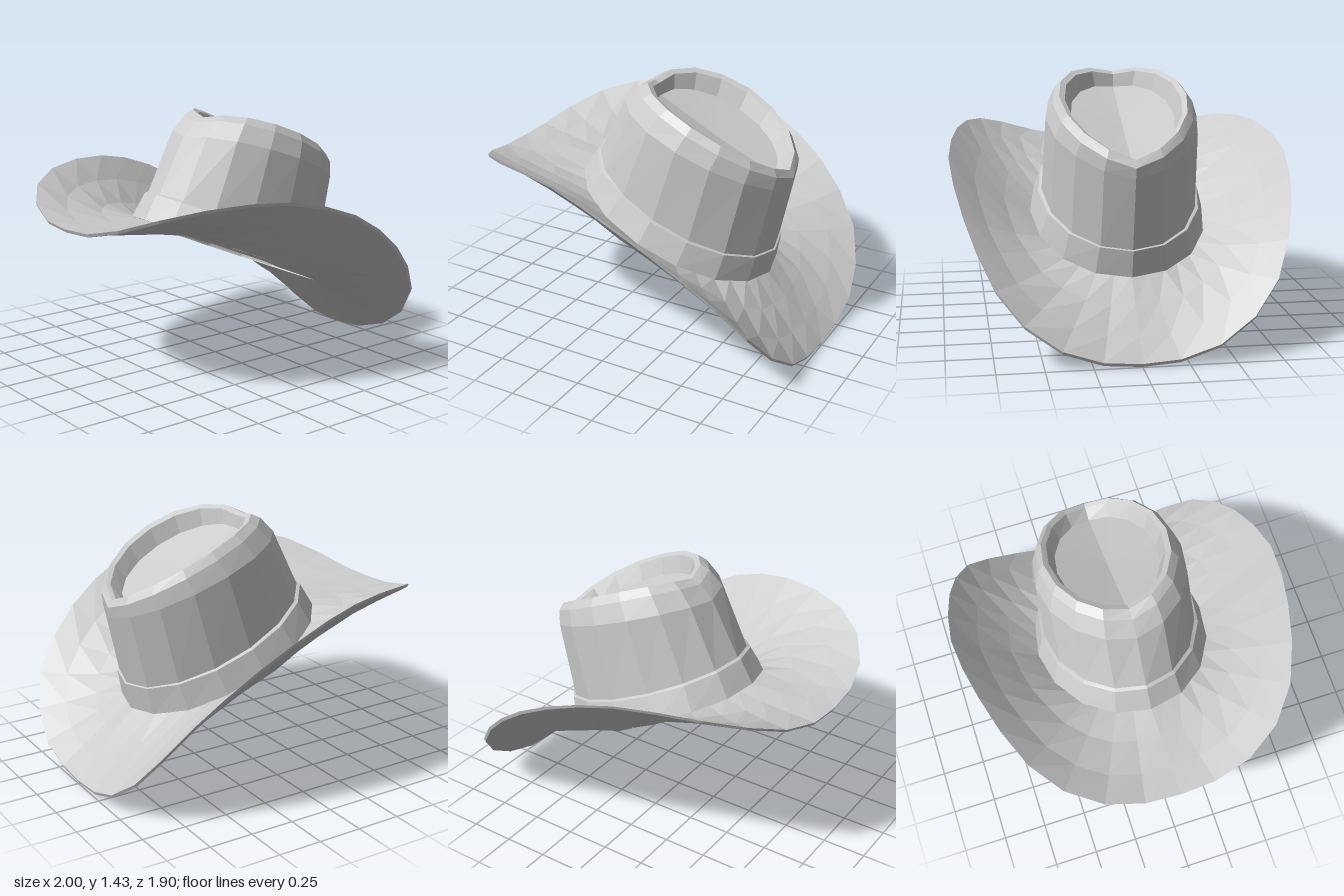
import * as THREE from 'three';

const SIDES = 16;
const V = (x, y, z) => new THREE.Vector3(x, y, z);

// Tilted oval ring: back point, front point, half width, rise of the two sides
function ring(xb, yb, xf, yf, w, rise = 0) {
  return Array.from({ length: SIDES }, (_, i) => {
    const a = (i / SIDES) * Math.PI * 2;
    const t = (1 + Math.cos(a)) / 2, s = Math.sin(a);
    return V(xb + (xf - xb) * t, yb + (yf - yb) * t + rise * Math.abs(s), w * s);
  });
}

const point = (x, y) => Array.from({ length: SIDES }, () => V(x, y, 0));

// Split every edge of a ring in two
const subdivide = (r) => r.flatMap((p, i) => [p, p.clone().lerp(r[(i + 1) % r.length], 0.5)]);

// Skin a list of rings that have equal point counts
function loft(name, rings) {
  const pos = [];
  const tri = (a, b, c) => {
    if (a.distanceTo(b) < 1e-6 || b.distanceTo(c) < 1e-6 || a.distanceTo(c) < 1e-6) return;
    for (const p of [a, b, c]) pos.push(p.x, p.y, p.z);
  };
  for (let k = 0; k + 1 < rings.length; k++) {
    const lo = rings[k], hi = rings[k + 1], n = lo.length;
    for (let i = 0; i < n; i++) {
      const j = (i + 1) % n;
      tri(lo[i], hi[i], lo[j]);
      tri(lo[j], hi[i], hi[j]);
    }
  }
  const geo = new THREE.BufferGeometry();
  geo.setAttribute('position', new THREE.Float32BufferAttribute(pos, 3));
  geo.computeVertexNormals();
  const mesh = new THREE.Mesh(geo, new THREE.MeshStandardMaterial({ color: 0xcccccc, flatShading: true }));
  mesh.name = name;
  return mesh;
}

// Half of the brim edge, from the front tip round to the back
const EDGE = [
  [1, 0.015, 0], [1, 0.03, 0.2], [1, 0.1, 0.41], [0.96, 0.23, 0.6], [0.88, 0.4, 0.74],
  [0.74, 0.58, 0.83], [0.58, 0.73, 0.89], [0.4, 0.86, 0.93], [0.2, 0.97, 0.95],
  [0, 1.04, 0.93], [-0.2, 1.08, 0.89], [-0.42, 1.09, 0.83], [-0.64, 1.07, 0.74],
  [-0.82, 1.02, 0.6], [-0.94, 0.95, 0.41], [-0.99, 0.9, 0.2], [-1, 0.89, 0],
];

function brim() {
  const half = EDGE.map((p) => V(...p));
  const outer = [...half, ...half.slice(1, -1).reverse().map((p) => V(p.x, p.y, -p.z))];
  const inner = subdivide(ring(-0.47, 0.865, 0.64, 0.385, 0.48));
  // Rings between opening and edge, sagging a little at the sides
  const top = [0, 0.35, 0.7, 1].map((t) => inner.map((p, i) => {
    const q = p.clone().lerp(outer[i], t);
    q.y -= 0.12 * t * (1 - t) * Math.abs(Math.sin((i / inner.length) * Math.PI * 2));
    return q;
  }));
  const under = top.map((r) => r.map((p) => V(p.x - 0.008 * Math.sign(p.x), p.y - 0.018, p.z * 0.995)));
  return loft('brim', [top[0], ...under, ...top.slice().reverse()]);
}

export function createModel() {
  const hat = new THREE.Group();
  hat.name = 'hat';

  const innerBase = ring(-0.455, 0.85, 0.63, 0.375, 0.465);
  const ledge = ring(-0.39, 1.005, 0.68, 0.535, 0.435);

  // Flared band round the foot of the crown
  const band = loft('band', [
    innerBase,
    ring(-0.49, 0.87, 0.66, 0.38, 0.5),
    ring(-0.41, 1.0, 0.69, 0.53, 0.455),
    ledge,
  ]);

  // Crown wall, rounded rim and sunken top
  const crown = loft('crown', [
    ledge,
    ring(-0.22, 1.31, 0.77, 0.93, 0.42, 0.07),
    ring(-0.14, 1.385, 0.78, 0.99, 0.385, 0.09),
    ring(-0.085, 1.405, 0.755, 1.03, 0.35, 0.1),
    ring(-0.055, 1.39, 0.73, 1.03, 0.32, 0.09),
    ring(-0.045, 1.32, 0.665, 0.99, 0.285, 0.05),
    point(0.31, 1.14),
  ]);

  // Inside of the crown, seen through the opening
  const lining = loft('lining', [
    point(0.31, 1.11),
    ring(-0.06, 1.28, 0.67, 0.95, 0.31, 0.05),
    ring(-0.19, 1.27, 0.74, 0.91, 0.39, 0.06),
    ring(-0.36, 1.0, 0.65, 0.535, 0.41),
    ring(-0.39, 0.98, 0.66, 0.52, 0.43),
    innerBase,
  ]);

  hat.add(brim(), band, crown, lining);
  return hat;
}
